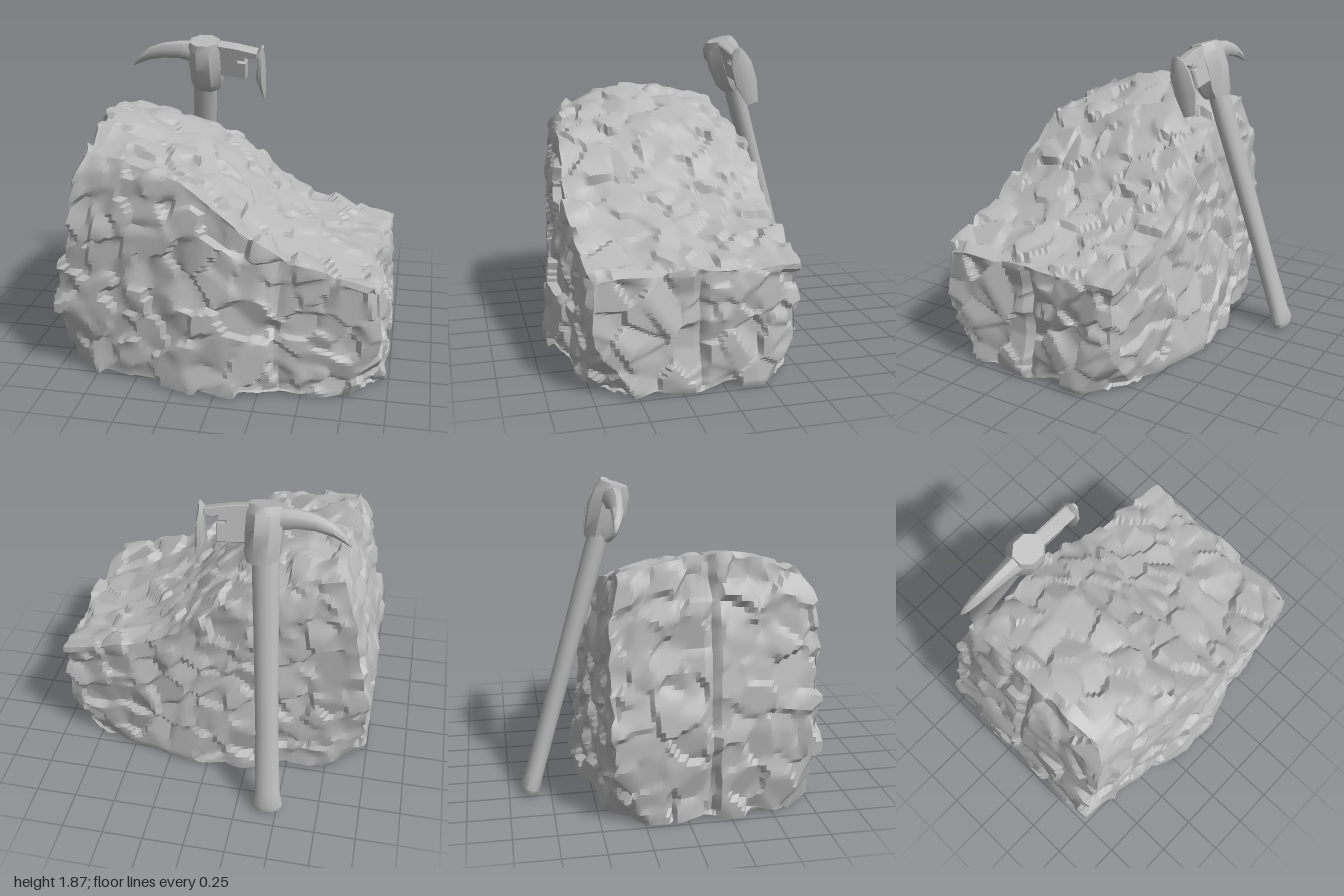
import * as THREE from 'three';
import { mergeVertices, toCreasedNormals } from 'three/addons/utils/BufferGeometryUtils.js';

const stone = new THREE.MeshStandardMaterial({ color: 0xb8b8b8 });
stone.name = 'grey stone';

// small seeded random generator
function seeded(seed) {
  return () => {
    seed = (seed * 1664525 + 1013904223) % 4294967296;
    return seed / 4294967296;
  };
}

// piecewise linear lookup in a list of [key, value]
function lookup(table, k) {
  if (k <= table[0][0]) return table[0][1];
  for (let i = 1; i < table.length; i++) {
    const [a, va] = table[i - 1], [b, vb] = table[i];
    if (k <= b) return va + (vb - va) * (k - a) / (b - a);
  }
  return table[table.length - 1][1];
}

// boulder outline: left edge, ridge, front and back walls, and narrowing at the corners
const leftEdge = [[0, -0.97], [0.35, -0.985], [0.55, -0.93], [0.8, -0.86], [1, -0.77]];
const ridge = [[-0.8, 1.52], [-0.5, 1.45], [-0.2, 1.35], [0, 1.19], [0.2, 1.01], [0.4, 0.88], [0.6, 0.81], [0.95, 0.7]];
const frontWall = [[0, 0.91], [0.3, 0.88], [0.5, 0.85], [0.7, 0.82], [1, 0.8], [1.3, 0.76], [1.42, 0.69]];
const backWall = [[0, -0.59], [0.3, -0.56], [0.6, -0.51], [0.9, -0.48], [1.2, -0.44], [1.42, -0.38]];
const corner = [[-1, 0.18], [-0.4, 0.09], [-0.2, 0.02], [0.05, 0], [0.4, 0.1], [1, 0.18]];

function shapePoint(p) {
  const u = p.x, v = p.y, w = p.z;
  const x = THREE.MathUtils.lerp(lookup(leftEdge, v), 0.97 - 0.03 * v, (u + 1) / 2);
  const h = lookup(ridge, x);
  const y = 0.025 + v * (h - 0.025 - 0.11 * w * w * (h / 1.53) ** 3);
  const drop = lookup(corner, x) * Math.max(0.2, 1 - y / 1.2);
  const z = THREE.MathUtils.lerp(lookup(backWall, y) + drop, lookup(frontWall, y) - drop, (w + 1) / 2);
  p.set(x, y, z);
  // broken lower corners
  const over = Math.abs(x) + Math.abs(z - 0.15) - 0.75 * y - 1.32;
  if (over > 0) {
    p.x -= over * 0.5 * Math.sign(x);
    p.z -= over * 0.5 * Math.sign(z - 0.15);
  }
  return p;
}

function boulderGeometry() {
  let g = new THREE.BoxGeometry(2, 1, 2, 66, 48, 50).translate(0, 0.5, 0);
  g.deleteAttribute('uv');
  g.deleteAttribute('normal');
  g.clearGroups();
  g = mergeVertices(g, 1e-4);
  const pos = g.attributes.position, p = new THREE.Vector3(), n = new THREE.Vector3();
  for (let i = 0; i < pos.count; i++) {
    shapePoint(p.fromBufferAttribute(pos, i));
    pos.setXYZ(i, p.x, p.y, p.z);
  }
  g.computeVertexNormals();

  // chipped facets: small tilted planes that blend where they meet
  const rnd = seeded(17), r = (a) => (rnd() * 2 - 1) * a;
  const chips = Array.from({ length: 1300 }, () => ({
    at: new THREE.Vector3(r(1), 0.77 + r(0.77), 0.15 + r(0.77)),
    tilt: new THREE.Vector3(r(0.3), r(0.3), r(0.3)),
    off: r(0.02),
  }));
  const nor = g.attributes.normal;
  const to = new THREE.Vector3();
  for (let i = 0; i < pos.count; i++) {
    p.fromBufferAttribute(pos, i);
    n.fromBufferAttribute(nor, i);
    let sum = 0, weight = 0;
    for (const c of chips) {
      to.subVectors(p, c.at);
      const k = Math.exp(-to.lengthSq() / 0.0009);
      sum += k * (c.off + c.tilt.dot(to));
      weight += k;
    }
    let d = THREE.MathUtils.clamp(sum / weight, -0.03, 0.025);
    // vertical seams on both ends and the front, and a small pit
    if (Math.abs(n.x) > 0.75) d -= 0.035 * Math.max(0, 1 - Math.abs(p.z - 0.14) / 0.04);
    if (n.z > 0.6 && p.y < 0.85) d -= 0.02 * Math.max(0, 1 - Math.abs(p.x - 0.36) / 0.05);
    if (n.z > 0.6) d -= 0.06 * Math.max(0, 1 - Math.hypot(p.x - 0.34, p.y - 0.43) / 0.08);
    if (n.y < -0.9) d *= 0.1;
    p.addScaledVector(n, d);
    pos.setXYZ(i, p.x, Math.max(p.y, 0.01), p.z);
  }
  return toCreasedNormals(g, 0.5);
}

// closed solid from elliptical sections [centre, half axis A, half axis B]
function loft(sections, sides) {
  const verts = [], index = [];
  for (const [c, a, b] of sections) {
    for (let j = 0; j < sides; j++) {
      const t = ((j + 0.5) / sides) * Math.PI * 2, ca = Math.cos(t), sb = Math.sin(t);
      verts.push(...c.map((k, i) => k + a[i] * ca + b[i] * sb));
    }
  }
  const last = sections.length - 1;
  for (let s = 0; s < last; s++) {
    for (let j = 0; j < sides; j++) {
      const k = (j + 1) % sides, A = s * sides;
      index.push(A + j, A + k, A + sides + k, A + j, A + sides + k, A + sides + j);
    }
  }
  for (let j = 1; j < sides - 1; j++) {
    index.push(0, j + 1, j, last * sides, last * sides + j, last * sides + j + 1);
  }
  const g = new THREE.BufferGeometry();
  g.setAttribute('position', new THREE.Float32BufferAttribute(verts, 3));
  g.setIndex(index);
  return toCreasedNormals(g, 0.75);
}

function part(parent, name, geometry) {
  const m = new THREE.Mesh(geometry, stone);
  m.name = name;
  parent.add(m);
  return m;
}

// section across the y axis, and section across the x axis
const level = (x, y, z, rx, rz) => [[x, y, z], [0, 0, rz], [rx, 0, 0]];
const upright = (x, y, z, ry, rz) => [[x, y, z], [0, ry, 0], [0, 0, rz]];

export function createModel() {
  const model = new THREE.Group();
  model.name = 'boulderWithPickaxe';
  part(model, 'boulder', boulderGeometry());

  // handle leaning on the back of the boulder
  const pickaxe = new THREE.Group();
  pickaxe.name = 'pickaxe';
  model.add(pickaxe);
  const foot = new THREE.Vector3(-0.445, 0.03, -0.875), top = new THREE.Vector3(-0.3, 1.8, -0.345);
  const length = foot.distanceTo(top);
  const handle = part(pickaxe, 'handle', loft([
    level(0, -0.01, 0, 0.08, 0.05), level(0, 0.02, 0, 0.095, 0.062), level(0, 0.1, 0, 0.078, 0.054),
    level(0, 0.5, 0, 0.07, 0.054), level(0, 1.1, 0, 0.074, 0.058), level(0, 1.45, 0, 0.079, 0.062),
    level(0, length, 0, 0.08, 0.06),
  ], 14));
  handle.position.copy(foot);
  handle.quaternion.setFromUnitVectors(new THREE.Vector3(0, 1, 0), top.clone().sub(foot).normalize());

  // head, tilted back with the handle
  const head = new THREE.Group();
  head.name = 'head';
  head.position.set(-0.3, 1.7, -0.365);
  head.rotation.x = 0.29;
  pickaxe.add(head);
  part(head, 'socket', loft([
    level(0, -0.18, -0.01, 0.09, 0.08), level(0, -0.13, 0, 0.108, 0.1), level(0, 0, 0, 0.112, 0.12),
    level(0, 0.11, 0, 0.112, 0.108), level(0, 0.16, 0, 0.1, 0.085),
  ], 8));

  // curved pick, drawn from tip to socket
  part(head, 'pick', loft([
    upright(-0.49, -0.035, 0, 0.006, 0.008), upright(-0.45, 0.005, 0, 0.026, 0.022),
    upright(-0.38, 0.05, 0, 0.04, 0.034), upright(-0.28, 0.08, 0, 0.05, 0.042),
    upright(-0.17, 0.09, 0, 0.058, 0.052), upright(-0.05, 0.075, 0, 0.075, 0.065),
  ], 8));

  // notched arm
  const arm = new THREE.Shape([
    [0.05, 0.15], [0.2, 0.13], [0.34, 0.1], [0.34, 0.07], [0.29, 0.06], [0.26, 0.075], [0.26, 0.045],
    [0.21, 0.05], [0.215, 0.03], [0.265, 0.025], [0.26, -0.08], [0.05, -0.06],
  ].map(([x, y]) => new THREE.Vector2(x, y)));
  part(head, 'arm', new THREE.ExtrudeGeometry(arm, {
    depth: 0.06, bevelThickness: 0.012, bevelSize: 0.006, bevelSegments: 1,
  }).translate(0, 0, -0.03));

  // crosswise blade at the end of the arm
  part(head, 'blade', loft([
    level(0.375, -0.225, 0, 0.005, 0.04), level(0.355, -0.09, 0, 0.032, 0.075),
    level(0.365, 0.03, 0, 0.022, 0.07), level(0.36, 0.1, 0, 0.022, 0.045), level(0.375, 0.135, 0, 0.008, 0.02),
  ], 8));
  return model;
}
